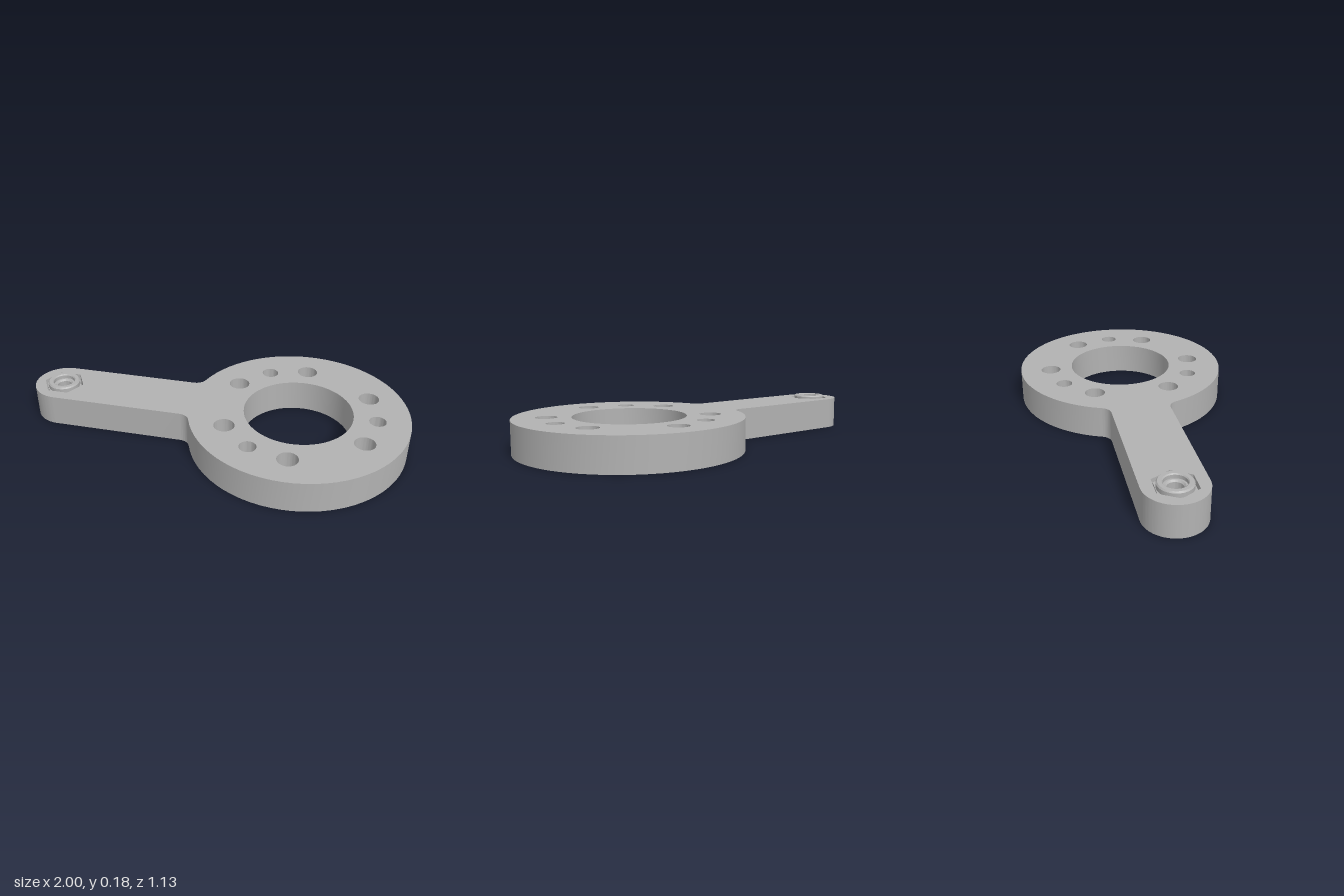
import * as THREE from 'three';
import { toCreasedNormals } from 'three/addons/utils/BufferGeometryUtils.js';

const SEG = 32;                       // curve divisions; full circles get 2 * SEG sides
const TOP = 0.166, STEP = 0.085, POCKET = 0.055;
const CX = 0.433, R = 0.567;          // ring
const AX = -0.847, AW = 0.153;        // arm end centre and half width
const FILLET = 0.06;

const steel = new THREE.MeshStandardMaterial({ color: 0xb2b2b2 });
steel.name = 'grey';

const circle = (x, y, r) => new THREE.Path().absarc(x, y, r, 0, Math.PI * 2, false);

function hexPoints(r, cx = 0) {
  return Array.from({ length: 6 }, (_, i) =>
    new THREE.Vector2(cx + r * Math.cos(i * Math.PI / 3), r * Math.sin(i * Math.PI / 3)));
}

// Flat horizontal face at height y
function cap(shape, y, up) {
  const g = new THREE.ShapeGeometry(shape, SEG);
  g.rotateX(up ? -Math.PI / 2 : Math.PI / 2);
  return g.translate(0, y, 0);
}

// Upright wall along a closed outline, facing outward or inward
function wall(points, y0, y1, inward = false) {
  const pts = inward ? [...points].reverse() : points;
  const pos = [];
  pts.forEach((a, i) => {
    const b = pts[(i + 1) % pts.length];
    if (a.distanceTo(b) < 1e-5) return;
    pos.push(a.x, y0, -a.y, b.x, y0, -b.y, b.x, y1, -b.y);
    pos.push(a.x, y0, -a.y, b.x, y1, -b.y, a.x, y1, -a.y);
  });
  const g = new THREE.BufferGeometry();
  g.setAttribute('position', new THREE.Float32BufferAttribute(pos, 3));
  return toCreasedNormals(g, 0.5);
}

// Turned surface; profiles running downward face the axis
function turned(profile, x = 0, z = 0) {
  const g = new THREE.LatheGeometry(profile.map(p => new THREE.Vector2(...p)), SEG * 2);
  return toCreasedNormals(g, 0.5).translate(x, 0, z);
}

// Ring and arm joined by fillets
function plateOutline() {
  const fz = AW + FILLET;
  const dx = Math.sqrt((R + FILLET) ** 2 - fz ** 2);
  const fx = CX - dx;
  const t = Math.atan2(fz, dx);
  const s = new THREE.Shape();
  s.moveTo(AX, -AW);
  s.lineTo(fx, -AW);
  s.absarc(fx, -fz, FILLET, Math.PI / 2, t, true);
  s.absarc(CX, 0, R, t - Math.PI, Math.PI - t, false);
  s.absarc(fx, fz, FILLET, -t, -Math.PI / 2, true);
  s.lineTo(AX, AW);
  s.absarc(AX, 0, AW, Math.PI / 2, Math.PI * 1.5, false);
  return s;
}

export function createModel() {
  const model = new THREE.Group();
  const add = (parent, name, geometry) => {
    const m = new THREE.Mesh(geometry, steel);
    m.name = name;
    parent.add(m);
  };

  // Plate faces and holes
  const plate = new THREE.Group();
  plate.name = 'plate';
  model.add(plate);
  const top = plateOutline(), bottom = plateOutline();
  add(plate, 'outerWall', wall(top.getPoints(SEG), 0, TOP));

  const bore = (name, x, y, profile) => {
    top.holes.push(circle(x, y, profile[0][0]));
    bottom.holes.push(circle(x, y, profile[profile.length - 1][0]));
    add(plate, name, turned(profile, x, -y));
  };
  bore('centreBore', CX, 0, [[0.28, TOP], [0.28, 0]]);

  // Six bolt holes, counterbored from below
  for (let i = 0; i < 6; i++) {
    const a = Math.PI / 6 + i * Math.PI / 3;
    bore('boltHole', CX + 0.4 * Math.cos(a), 0.4 * Math.sin(a),
      [[0.053, TOP], [0.053, STEP], [0.092, STEP], [0.092, 0]]);
  }
  // Three plain holes
  for (let i = 0; i < 3; i++) {
    const a = i * Math.PI * 2 / 3;
    bore('pinHole', CX + 0.4 * Math.cos(a), 0.4 * Math.sin(a), [[0.043, TOP], [0.043, 0]]);
  }

  // Hexagonal nut pocket with a screw hole under it
  const pocket = hexPoints(0.109, AX);
  top.holes.push(new THREE.Path(pocket));
  bottom.holes.push(circle(AX, 0, 0.06));
  add(plate, 'pocketWall', wall(pocket, POCKET, TOP, true));
  const floor = new THREE.Shape(pocket);
  floor.holes.push(circle(AX, 0, 0.06));
  add(plate, 'pocketFloor', cap(floor, POCKET, true));
  add(plate, 'screwHole', turned([[0.06, POCKET], [0.06, 0]], AX));
  add(plate, 'topFace', cap(top, TOP, true));
  add(plate, 'bottomFace', cap(bottom, 0, false));

  // Lock nut: hexagonal body with a round collar
  const nut = new THREE.Group();
  nut.name = 'lockNut';
  nut.position.x = AX;
  model.add(nut);
  const shoulder = 0.152, base = POCKET + 0.001;
  const hex = hexPoints(0.1);
  add(nut, 'nutSides', wall(hex, base, shoulder));
  const ring = r => {
    const s = new THREE.Shape(hex);
    s.holes.push(circle(0, 0, r));
    return s;
  };
  add(nut, 'nutShoulder', cap(ring(0.084), shoulder, true));
  add(nut, 'nutBase', cap(ring(0.038), base, false));
  add(nut, 'nutCollar', turned([
    [0.084, shoulder], [0.084, 0.174], [0.078, 0.181], [0.06, 0.181],
    [0.055, 0.176], [0.055, 0.158], [0.046, 0.158], [0.038, 0.15], [0.038, base],
  ]));
  return model;
}
